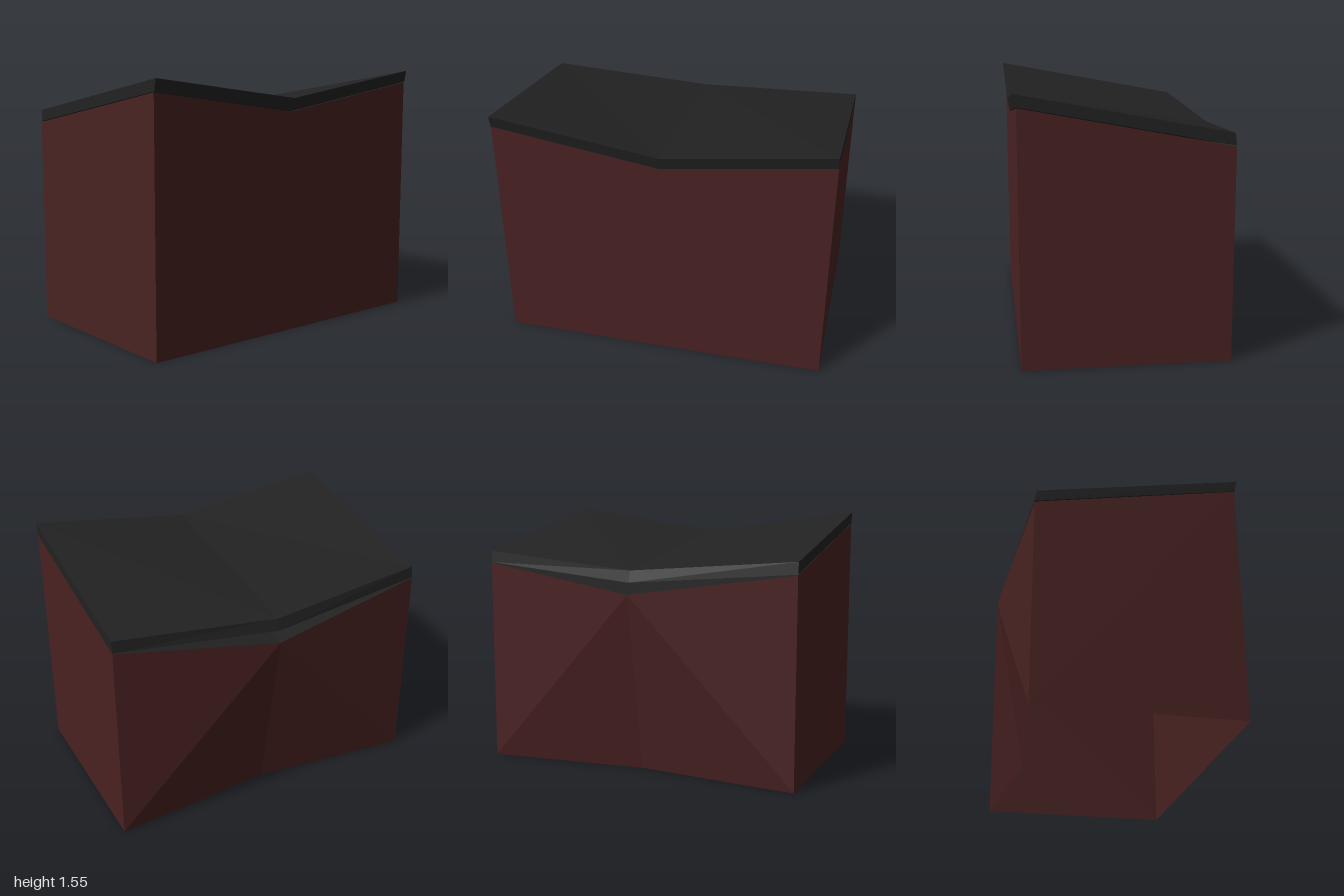
import * as THREE from 'three';

const brick = new THREE.MeshStandardMaterial({ color: 0x4a2222, side: THREE.DoubleSide });
brick.name = 'dark red wall';
const slate = new THREE.MeshStandardMaterial({ color: 0x222222, side: THREE.DoubleSide });
slate.name = 'charcoal roof';

// Flat-shaded mesh from quads; each quad splits along its first-to-third corner
function quads(name, material, list) {
  const pos = [];
  for (const [a, b, c, d] of list) pos.push(...a, ...b, ...c, ...a, ...c, ...d);
  const geo = new THREE.BufferGeometry();
  geo.setAttribute('position', new THREE.Float32BufferAttribute(pos, 3));
  geo.computeVertexNormals();
  const mesh = new THREE.Mesh(geo, material);
  mesh.name = name;
  return mesh;
}

// Cross-section at z: wall feet and tops, roof lower and upper edges ([x, y] each)
const section = (z, points) => points.map(([x, y]) => [x, y, z]);
const END = [[-0.56, 0], [0.64, 0], [0.64, 1.475], [-0.56, 1.245],
  [-0.56, 1.25], [0.645, 1.48], [0.66, 1.55], [-0.55, 1.32]];
const MIDDLE = [[-0.46, 0], [0.64, 0], [0.64, 1.33], [-0.66, 1.1],
  [-0.64, 1.17], [0.645, 1.335], [0.66, 1.41], [-0.62, 1.24]];

export function createModel() {
  const group = new THREE.Group();
  group.name = 'shed';
  const f = section(1, END), m = section(0, MIDDLE), b = section(-1, END);

  // Walls, open at the bottom; the low side twists outward at its middle
  group.add(
    quads('frontWall', brick, [[f[0], f[1], f[2], f[3]]]),
    quads('backWall', brick, [[b[1], b[0], b[3], b[2]]]),
    quads('highSideWall', brick, [[f[1], m[1], m[2], f[2]], [m[1], b[1], b[2], m[2]]]),
    quads('lowSideWall', brick, [[f[0], f[3], m[3], m[0]].map((p, i, q) => q[i]),
      [m[3], m[0], b[0], b[3]]])
  );

  // Sheet closing the walls under the roof
  group.add(quads('ceiling', slate, [[f[3], f[2], m[2], m[3]], [m[3], m[2], b[2], b[3]]]));

  // Roof slab: a valley-folded plate running front to back
  const roof = [[f[4], f[5], f[6], f[7]], [b[5], b[4], b[7], b[6]]];
  for (const [p, q] of [[f, m], [m, b]]) {
    roof.push(
      [p[7], p[6], q[6], q[7]],
      [p[5], q[5], q[6], p[6]],
      [q[4], p[4], p[7], q[7]],
      [p[5], p[4], q[4], q[5]]
    );
  }
  group.add(quads('roof', slate, roof));
  return group;
}
